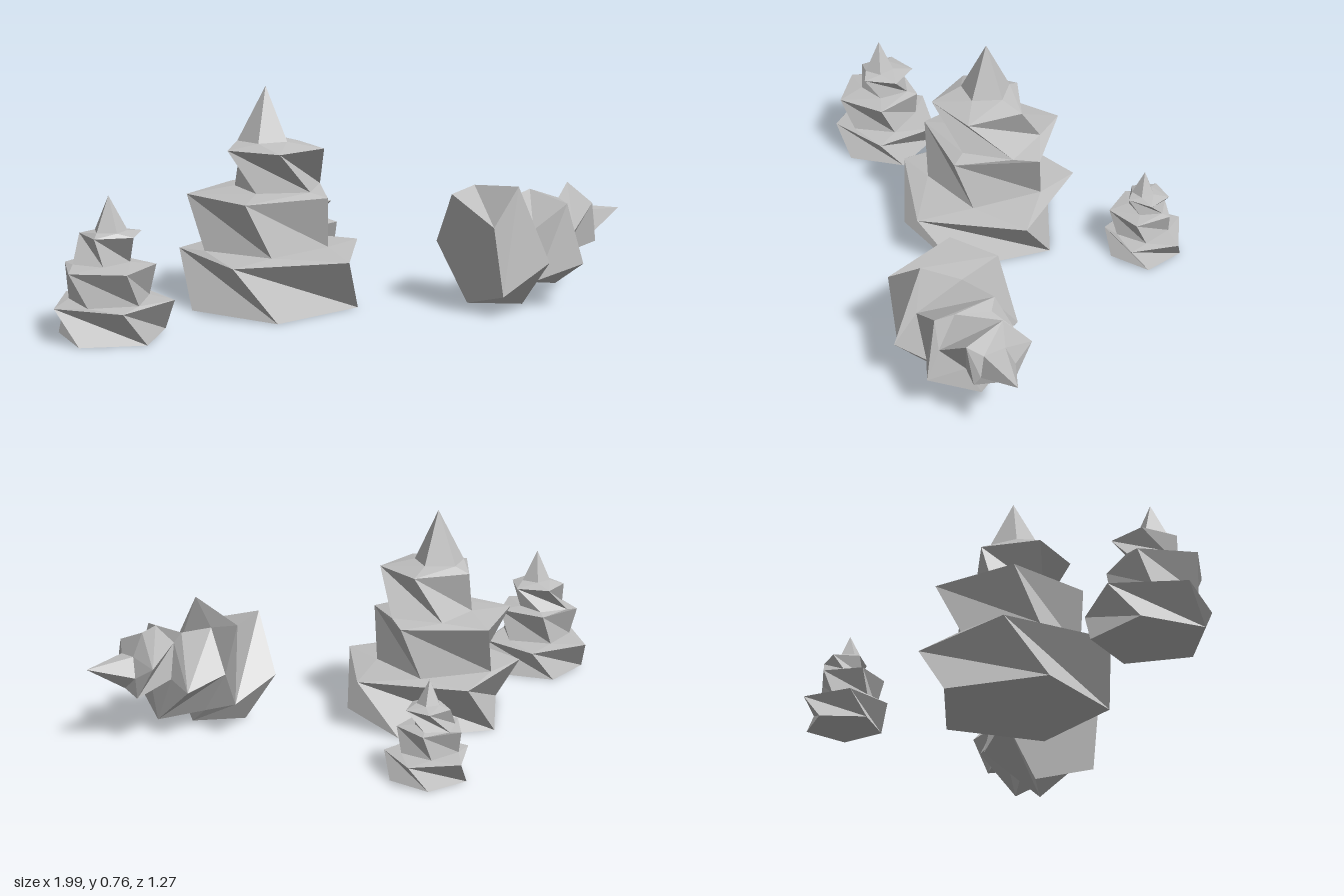
import * as THREE from 'three';

const SIDES = 5;
const STEP = 360 / SIDES;

// Pentagon tiers from bottom to top: height, centre x, centre z, radius, angle in degrees
const TIERS = [
  [0, -0.005, 0, 0.3, 22],
  [0.19, 0, 0, 0.337, 48.8],
  [0.203, -0.035, -0.02, 0.225, 18],
  [0.387, -0.042, -0.038, 0.26, 36],
  [0.402, 0.02, -0.047, 0.158, 54],
  [0.55, -0.002, 0.009, 0.174, 18],
  [0.573, -0.035, -0.013, 0.092, 36],
];
const APEX = [-0.028, 0.76, -0.015];

// One faceted swirl: walls with long twisted diagonals, narrow ledges between them, and a tip
function swirlGeometry() {
  const positions = [];
  const tri = (...points) => points.forEach((p) => positions.push(...p));
  const point = ([y, cx, cz, r, angle], i) => {
    const a = THREE.MathUtils.degToRad(angle + i * STEP);
    return [cx + r * Math.cos(a), y, cz + r * Math.sin(a)];
  };

  for (let t = 0; t < TIERS.length - 1; t++) {
    const low = TIERS[t];
    const high = TIERS[t + 1];
    const isWall = t % 2 === 0;
    // Start the upper ring at the corner between two lower corners
    const shift = high[4] < low[4] ? 1 : 0;
    for (let i = 0; i < SIDES; i++) {
      const a = point(low, i), b = point(low, i + 1);
      const c = point(high, i + shift), d = point(high, i + shift + 1);
      if (isWall) {
        tri(a, c, d);
        tri(a, d, b);
      } else {
        tri(a, c, b);
        tri(c, d, b);
      }
    }
  }

  // Flat underside and pointed tip
  const bottom = TIERS[0];
  const top = TIERS[TIERS.length - 1];
  for (let i = 0; i < SIDES; i++) {
    tri([bottom[1], 0, bottom[2]], point(bottom, i), point(bottom, i + 1));
    tri(point(top, i), APEX, point(top, i + 1));
  }

  const geometry = new THREE.BufferGeometry();
  geometry.setAttribute('position', new THREE.Float32BufferAttribute(positions, 3));
  geometry.computeVertexNormals();
  return geometry;
}

export function createModel() {
  const model = new THREE.Group();
  model.name = 'swirlCluster';

  const grey = new THREE.MeshStandardMaterial({ color: 0xc0c0c0, flatShading: true });
  grey.name = 'stone grey';
  const geometry = swirlGeometry();

  // Three upright swirls: name, x, z, scale, turn in degrees
  const upright = [
    ['largeSwirl', -0.235, 0.08, 1, 0],
    ['frontSmallSwirl', -0.807, 0.428, 0.61, 112],
    ['backSmallSwirl', -0.037, -0.5, 0.445, 93],
  ];
  for (const [name, x, z, scale, turn] of upright) {
    const mesh = new THREE.Mesh(geometry, grey);
    mesh.name = name;
    mesh.position.set(x, 0, z);
    mesh.scale.setScalar(scale);
    mesh.rotation.y = THREE.MathUtils.degToRad(turn);
    model.add(mesh);
  }

  // Fallen swirl, lying on its side with the tip toward +x
  const base = new THREE.Vector3(0.413, 0.202, 0.275);
  const tip = new THREE.Vector3(0.998, 0.318, 0.047);
  const axis = tip.clone().sub(base);
  const length = axis.length();
  axis.normalize();
  const up = new THREE.Vector3(0, 0, 1).cross(axis).normalize();
  const side = axis.clone().cross(up);

  const fallen = new THREE.Group();
  fallen.name = 'fallenSwirl';
  fallen.position.copy(base);
  fallen.quaternion.setFromRotationMatrix(new THREE.Matrix4().makeBasis(side, axis, up));
  const fallenBody = new THREE.Mesh(geometry, grey);
  fallenBody.name = 'fallenSwirlBody';
  fallenBody.rotation.y = THREE.MathUtils.degToRad(-81);
  fallenBody.scale.set(0.7, length / APEX[1], 0.7);
  fallen.add(fallenBody);
  model.add(fallen);

  return model;
}
